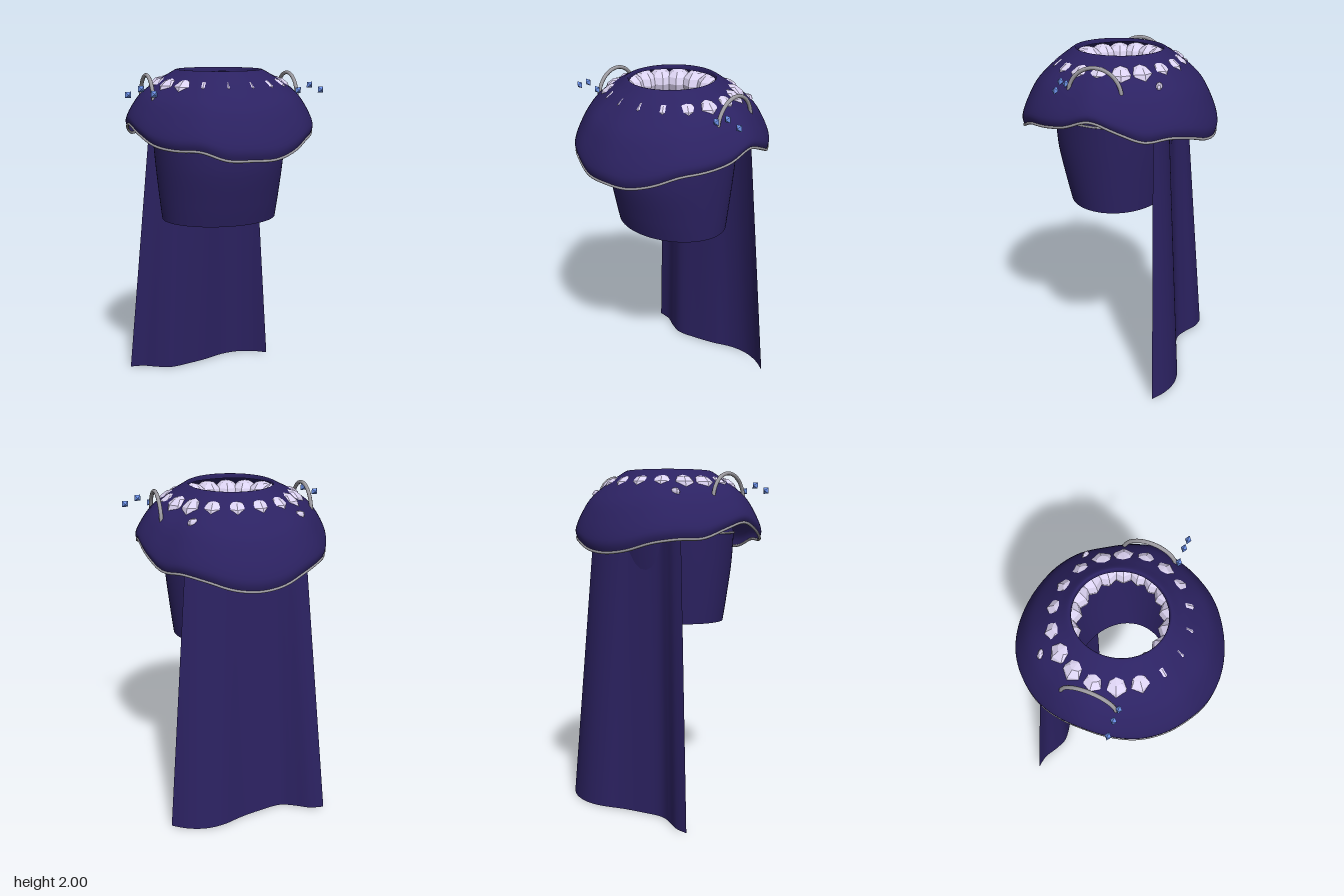
import * as THREE from 'three';
import { ParametricGeometry } from 'three/addons/geometries/ParametricGeometry.js';

const TAU = Math.PI * 2;
const cloth = new THREE.MeshStandardMaterial({ color: 0x2c2262, side: THREE.DoubleSide });
const fur = new THREE.MeshStandardMaterial({ color: 0xdcd3f2, flatShading: true });
const metal = new THREE.MeshStandardMaterial({ color: 0x9c9aa0 });
const gemBlue = new THREE.MeshStandardMaterial({ color: 0x6d92ea, flatShading: true });

const curve = pts => new THREE.SplineCurve(pts.map(p => new THREE.Vector2(...p)));
const lerp = THREE.MathUtils.lerp;

// Capelet: radius and drop fraction from neck to a slightly tucked-in hem
const capeletProfile = curve([[0.24, 0.06], [0.25, 0], [0.3, 0.075], [0.36, 0.18],
  [0.46, 0.4], [0.52, 0.64], [0.556, 0.87], [0.547, 1]]);
// Hem heights every 15 degrees around the body, starting at the front
const hemCurve = new THREE.CatmullRomCurve3([1.545, 1.543, 1.575, 1.625, 1.642, 1.665, 1.71, 1.66,
  1.605, 1.613, 1.59, 1.55, 1.535, 1.55, 1.59, 1.61, 1.615, 1.665, 1.7, 1.66, 1.61, 1.594, 1.594,
  1.55].map(y => new THREE.Vector3(0, y, 0)), true, 'catmullrom');
function capeletPoint(u, v, target) {
  const a = u * TAU, p = capeletProfile.getPoint(1 - v);
  const hem = hemCurve.getPoint(u - Math.floor(u)).y;
  target.set(p.x * 0.985 * Math.sin(a), 2 - p.y * (2 - hem), p.x * 1.022 * Math.cos(a));
}

// Tunic half-width, front depth and back depth, from bottom to top
const tunicSide = curve([[0.35, 1.12], [0.365, 1.25], [0.385, 1.45], [0.4, 1.64]]);
const tunicFront = curve([[0.28, 1.12], [0.315, 1.25], [0.36, 1.45], [0.37, 1.64]]);
const tunicBack = curve([[0.275, 1.12], [0.287, 1.25], [0.308, 1.45], [0.325, 1.64]]);
function tunicPoint(u, v, target) {
  const a = u * TAU, s = tunicSide.getPoint(v), c = Math.cos(a);
  const depth = (c > 0 ? tunicFront : tunicBack).getPoint(v).x;
  target.set(s.x * Math.sin(a), s.y, depth * c);
}

// Short yoke continuing the tunic up under the capelet
function yokePoint(u, v, target) {
  tunicPoint(u, 1, target);
  const k = 1 - 0.07 * v;
  target.set(target.x * k, 1.64 + 0.12 * v, target.z * k);
}

// Cape: widening sheet whose fold (side position, depth) deepens toward the floor
const capeFold = curve([[-1, 0], [-0.82, 0.008], [-0.64, 0.05], [-0.45, 0.075], [-0.15, 0.04],
  [0.1, 0], [0.36, -0.053], [0.6, -0.07], [0.82, -0.048], [1, 0]]);
function capePoint(u, v, target) {
  const f = capeFold.getPoint(1 - u);
  target.set(f.x * lerp(0.482, 0.34, v), v * 1.7,
    lerp(-0.398, -0.305, v) + lerp(0.042, 0.012, v) * f.x + lerp(1, 0.38, v) * f.y);
}

function add(parent, name, geometry, material) {
  const mesh = new THREE.Mesh(geometry, material);
  mesh.name = name;
  parent.add(mesh);
  return mesh;
}

// Closed cord that follows one edge of a wrapped surface
function edgeCord(pointFn, v, radius) {
  const pts = [];
  for (let i = 0; i < 72; i++) {
    const p = new THREE.Vector3();
    pointFn(i / 72, v, p);
    pts.push(p);
  }
  return new THREE.TubeGeometry(new THREE.CatmullRomCurve3(pts, true), 160, radius, 8, true);
}

export function createModel() {
  const model = new THREE.Group();
  model.name = 'capedGarment';

  add(model, 'capelet', new ParametricGeometry(capeletPoint, 96, 32), cloth);
  add(model, 'capeletHemTrim', edgeCord(capeletPoint, 0, 0.008), metal);
  add(model, 'tunic', new ParametricGeometry(tunicPoint, 64, 16), cloth);
  add(model, 'tunicTopTrim', edgeCord(tunicPoint, 1, 0.006), metal);
  add(model, 'tunicYoke', new ParametricGeometry(yokePoint, 64, 2), cloth);
  add(model, 'cape', new ParametricGeometry(capePoint, 48, 16), cloth);

  // Ring of fur tufts around the neck, set a little deeper at the front
  const collar = new THREE.Group();
  collar.name = 'furCollar';
  model.add(collar);
  const tuft = new THREE.SphereGeometry(1, 8, 6);
  for (let i = 0; i < 18; i++) {
    const a = (i + 0.5) / 18 * TAU;
    const mesh = add(collar, 'furTuft', tuft, fur);
    mesh.position.set(0.325 * Math.sin(a), 1.884 - 0.006 * Math.cos(a), 0.289 * Math.cos(a));
    mesh.rotation.y = a;
    mesh.scale.set(0.08, 0.076, 0.096);
  }

  // Shoulder rings, hanging gems and rear tufts on both sides
  for (const side of [1, -1]) {
    const name = side > 0 ? 'left' : 'right';
    const ring = add(model, name + 'ShoulderRing', new THREE.TorusGeometry(0.148, 0.011, 10, 48), metal);
    ring.position.set(side * 0.435, 1.825, 0);
    ring.rotation.y = Math.PI / 2;

    for (const [x, y] of [[0.435, 1.878], [0.507, 1.908], [0.58, 1.878]]) {
      const gem = add(model, name + 'Gem', new THREE.OctahedronGeometry(0.024), gemBlue);
      gem.position.set(side * x, y, 0.162);
      gem.rotation.z = Math.PI / 4;
      gem.scale.z = 0.75;
    }

    const rear = add(model, name + 'RearTuft', tuft, fur);
    rear.position.set(side * 0.298, 1.865, -0.312);
    rear.scale.set(0.032, 0.024, 0.018);
  }
  return model;
}
